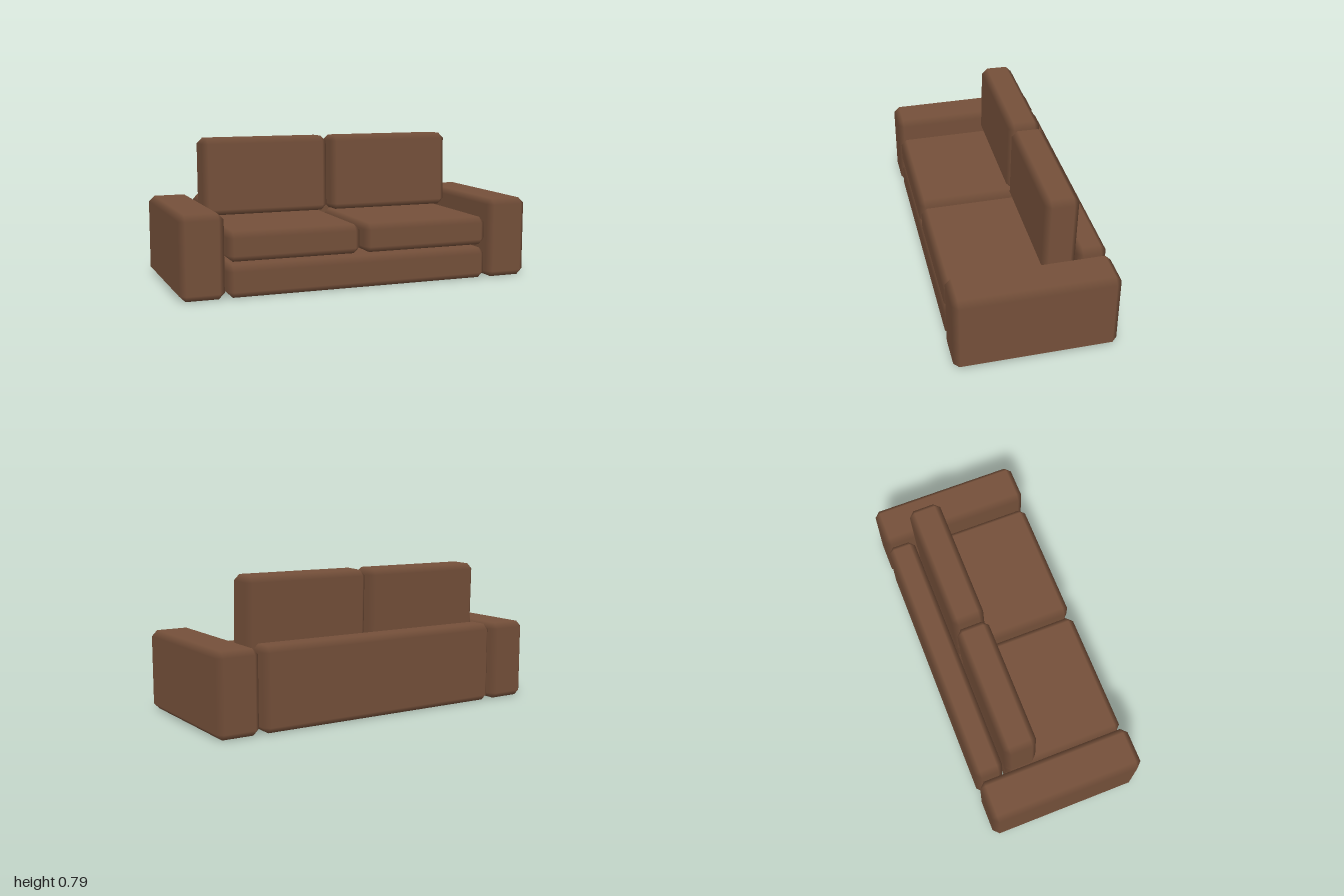
import * as THREE from 'three';

// Box with single-step bevels; normals stay flat on the big faces and blend across the bevels.
function bevelBox(w, h, d, r) {
  const geo = new THREE.BoxGeometry(w, h, d);
  const pos = geo.attributes.position, nor = geo.attributes.normal;
  const half = [w / 2, h / 2, d / 2];
  const ids = {};
  const key = (axis, s) => axis + ':' + s.join();
  for (let i = 0; i < pos.count; i++) {
    const p = [pos.getX(i), pos.getY(i), pos.getZ(i)];
    const n = [nor.getX(i), nor.getY(i), nor.getZ(i)];
    const s = p.map(Math.sign);
    const axis = n.findIndex((v) => Math.abs(v) > 0.5);
    ids[key(axis, s)] = i;
    pos.setXYZ(i, ...s.map((v, k) => v * (half[k] - r) + n[k] * r));
  }

  const index = Array.from(geo.index.array);
  const a = new THREE.Vector3(), b = new THREE.Vector3(), c = new THREE.Vector3();
  // Adds a triangle wound to face along the outward direction
  const tri = (i, j, k, out) => {
    a.fromBufferAttribute(pos, i);
    b.fromBufferAttribute(pos, j).sub(a);
    c.fromBufferAttribute(pos, k).sub(a);
    if (b.cross(c).dot(out) > 0) index.push(i, j, k);
    else index.push(i, k, j);
  };

  for (const u of [-1, 1]) for (const v of [-1, 1]) {
    // Edge bevels
    for (let e = 0; e < 3; e++) {
      const f = (e + 1) % 3, g = (e + 2) % 3;
      const lo = [], hi = [];
      lo[f] = hi[f] = u;
      lo[g] = hi[g] = v;
      lo[e] = -1;
      hi[e] = 1;
      const out = new THREE.Vector3().setComponent(f, u).setComponent(g, v);
      const q = [ids[key(f, lo)], ids[key(f, hi)], ids[key(g, hi)], ids[key(g, lo)]];
      tri(q[0], q[1], q[2], out);
      tri(q[0], q[2], q[3], out);
    }
    // Corner bevels
    for (const t of [-1, 1]) {
      const s = [u, v, t];
      tri(ids[key(0, s)], ids[key(1, s)], ids[key(2, s)], new THREE.Vector3(u, v, t));
    }
  }
  geo.setIndex(index);
  geo.clearGroups();
  return geo;
}

export function createModel() {
  const sofa = new THREE.Group();
  sofa.name = 'sofa';
  const leather = new THREE.MeshStandardMaterial({ color: 0x75503a });
  leather.name = 'brown leather';

  // Places a bevelled block by its extents on each axis
  const block = (name, [x0, x1], [y0, y1], [z0, z1]) => {
    const mesh = new THREE.Mesh(bevelBox(x1 - x0, y1 - y0, z1 - z0, 0.032), leather);
    mesh.name = name;
    mesh.position.set((x0 + x1) / 2, (y0 + y1) / 2, (z0 + z1) / 2);
    sofa.add(mesh);
    return mesh;
  };

  block('base', [-0.75, 0.75], [0, 0.172], [-0.26, 0.432]);
  block('backPanel', [-0.742, 0.742], [0, 0.45], [-0.438, -0.277]);

  // Mirrored arms and cushions
  for (const [side, s] of [['left', 1], ['right', -1]]) {
    const span = (p, q) => (s > 0 ? [p, q] : [-q, -p]);
    block(side + 'Arm', span(0.762, 1), [0, 0.447], [-0.437, 0.437]);
    block(side + 'SeatCushion', span(0.012, 0.748), [0.19, 0.348], [-0.26, 0.432]);
    const back = block(side + 'BackCushion', span(0.012, 0.75), [0.356, 0.79], [-0.27, -0.088]);
    back.rotation.x = -0.022;
  }
  return sofa;
}
